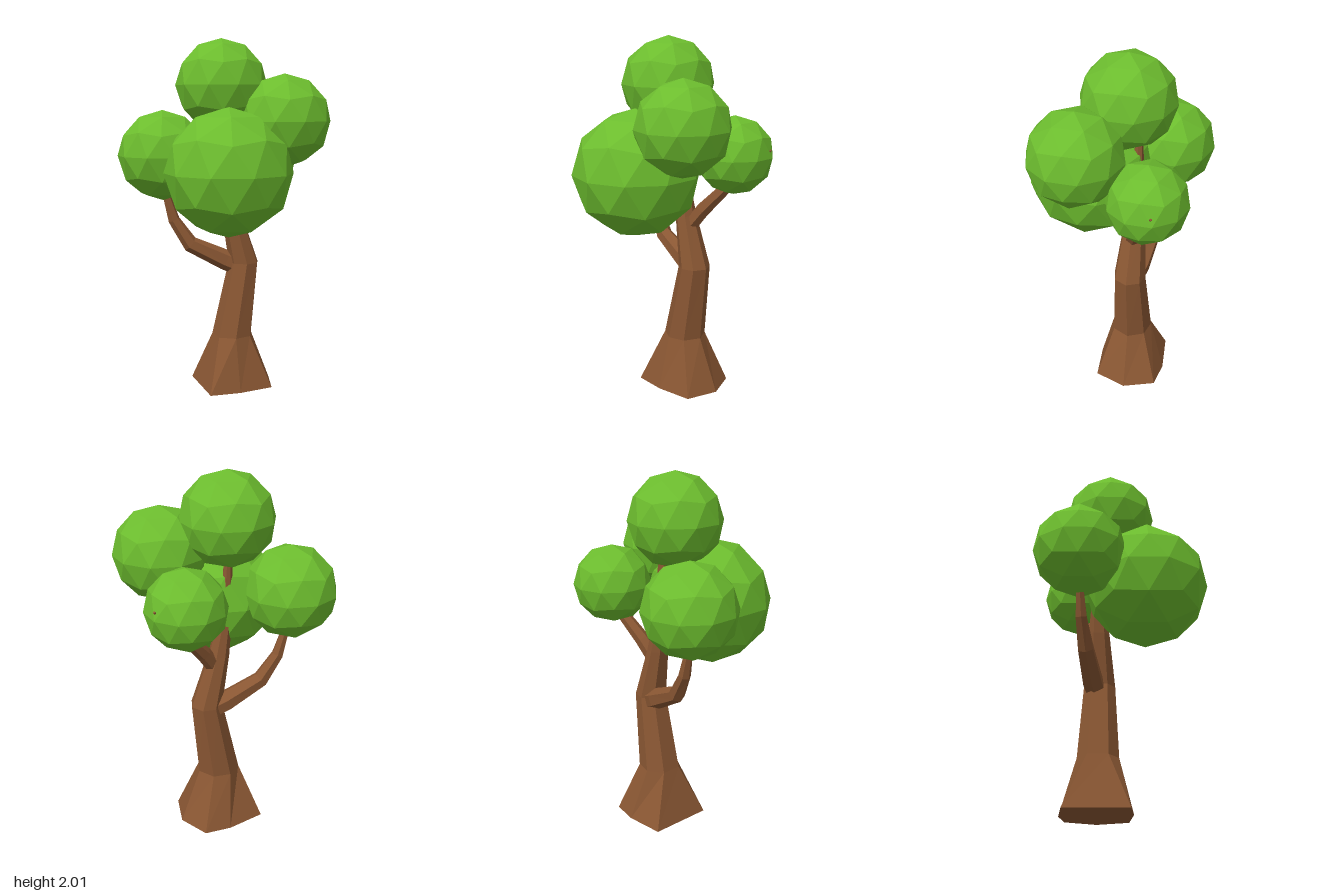
import * as THREE from 'three';

const bark = new THREE.MeshStandardMaterial({ color: 0x8a5733, flatShading: true });
const leaf = new THREE.MeshStandardMaterial({ color: 0x6cbc2e, flatShading: true });

// Closed faceted skin over rings of points (each ring runs counter-clockwise about the path)
function loft(rings) {
  const n = rings[0].length, last = (rings.length - 1) * n, index = [];
  for (let r = 0; r < last; r += n) {
    for (let i = 0; i < n; i++) {
      const a = r + i, b = r + (i + 1) % n;
      index.push(a, b, b + n, a, b + n, a + n);
    }
  }
  for (let i = 1; i < n - 1; i++) {
    index.push(0, i + 1, i, last, last + i, last + i + 1);
  }
  const indexed = new THREE.BufferGeometry().setFromPoints(rings.flat());
  indexed.setIndex(index);
  const geometry = indexed.toNonIndexed();
  geometry.computeVertexNormals();
  return geometry;
}

// Horizontal trunk ring: a seven-sided outline scaled to the given half widths
const flare = [[-1, 0.9], [-0.2, 1], [0.73, 0.9], [1, 0], [0.7, -0.88], [0.03, -1], [-0.96, -0.88]];
const round = [[-1, 0.5], [-0.25, 1], [0.6, 0.8], [1, 0], [0.6, -0.8], [-0.25, -1], [-1, -0.5]];
function trunkRing([x, y, z, rx, rz], outline) {
  return outline.map(([u, v]) => new THREE.Vector3(x + u * rx, y, z + v * rz));
}

// Branch rings stand square to a path of [x, y, z, radius]
function branchRings(path, sides = 6) {
  const pts = path.map(([x, y, z]) => new THREE.Vector3(x, y, z));
  return pts.map((p, k) => {
    const t = pts[Math.min(k + 1, pts.length - 1)].clone().sub(pts[Math.max(k - 1, 0)]).normalize();
    const u = new THREE.Vector3(0, 0, 1).cross(t).normalize();
    const v = t.clone().cross(u);
    return Array.from({ length: sides }, (_, i) => {
      const a = (i / sides) * Math.PI * 2;
      return p.clone().addScaledVector(u, path[k][3] * Math.cos(a)).addScaledVector(v, path[k][3] * Math.sin(a));
    });
  });
}

export function createModel() {
  const tree = new THREE.Group();
  tree.name = 'tree';
  const add = (name, geometry, material) => {
    const mesh = new THREE.Mesh(geometry, material);
    mesh.name = name;
    tree.add(mesh);
    return mesh;
  };

  // Trunk: flared foot, bend to the left, then tapering up into the crown
  const trunk = [
    [0.11, 0, -0.137, 0.22, 0.197],
    [0.097, 0.3, -0.13, 0.112, 0.113],
    [0.165, 0.73, -0.127, 0.083, 0.088],
    [0.09, 1.02, -0.133, 0.055, 0.06],
    [0.05, 1.24, -0.14, 0.035, 0.035],
    [0.03, 1.62, -0.14, 0.018, 0.018],
  ];
  add('trunk', loft(trunk.map((r, i) => trunkRing(r, i ? round : flare))), bark);

  // Branches
  add('rightBranch', loft(branchRings([
    [0.15, 0.7, -0.14, 0.06],
    [0.06, 0.74, -0.165, 0.06],
    [-0.145, 0.842, -0.2, 0.047],
    [-0.235, 0.985, -0.225, 0.034],
    [-0.285, 1.16, -0.235, 0.02],
  ])), bark);
  add('leftBranch', loft(branchRings([
    [0.1, 0.94, -0.13, 0.045],
    [0.19, 1.06, -0.16, 0.042],
    [0.33, 1.215, -0.21, 0.032],
    [0.53, 1.42, -0.31, 0.006],
  ])), bark);

  // Foliage: faceted balls with one corner pointing straight up
  const foliage = [
    ['topFoliage', 0, 1.749, -0.075, 0.256],
    ['leftFrontFoliage', 0.293, 1.555, 0.125, 0.256],
    ['frontFoliage', -0.037, 1.28, 0.133, 0.352],
    ['rightBackFoliage', -0.293, 1.357, -0.24, 0.256],
    ['leftBackFoliage', 0.33, 1.375, -0.25, 0.216],
  ];
  const tilt = Math.atan(2 / (1 + Math.sqrt(5)));
  for (const [name, x, y, z, r] of foliage) {
    const ball = new THREE.IcosahedronGeometry(r, 1).rotateZ(tilt);
    add(name, ball, leaf).position.set(x, y, z);
  }
  return tree;
}
